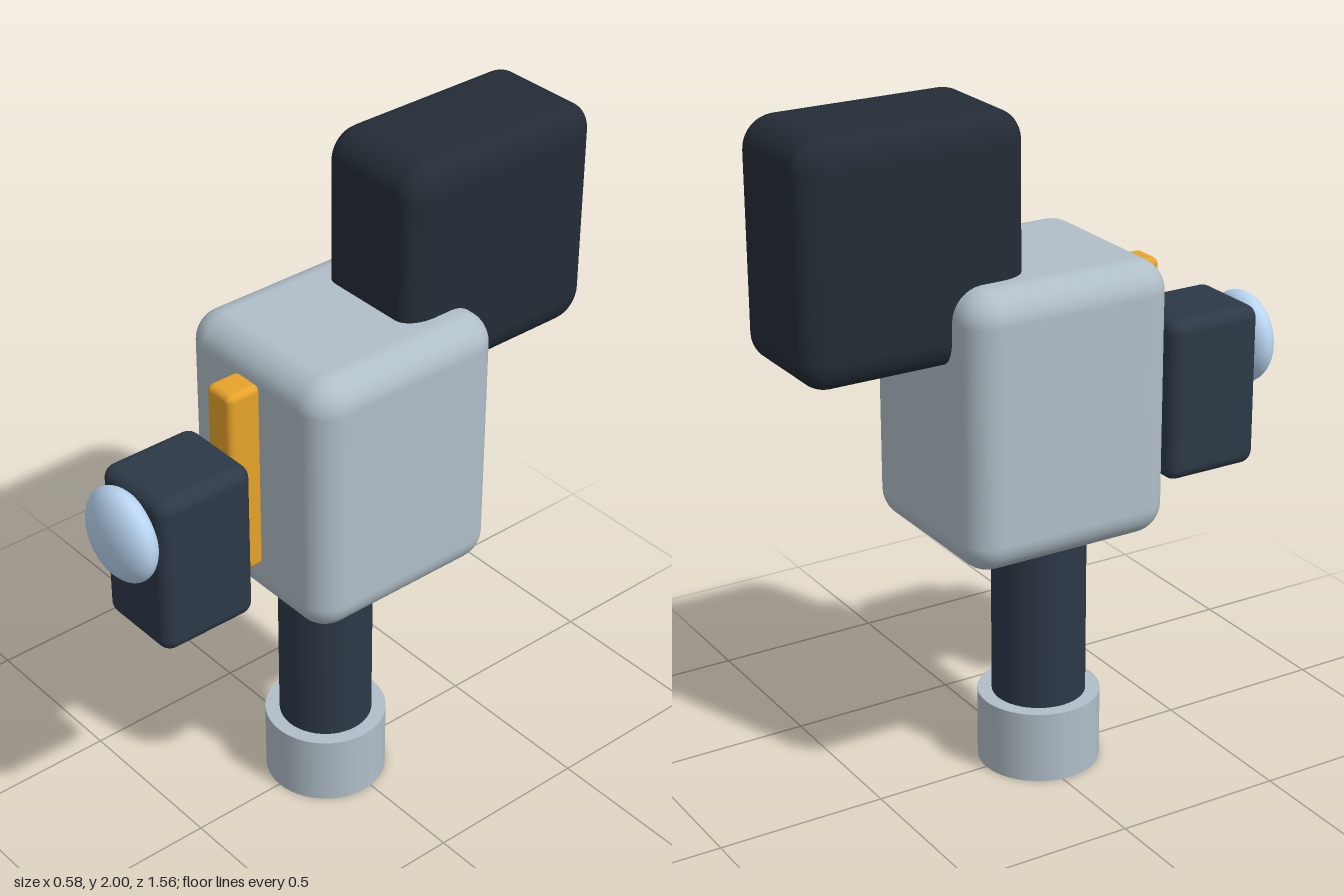
import * as THREE from 'three';
import { RoundedBoxGeometry } from 'three/addons/geometries/RoundedBoxGeometry.js';

const paint = (color) => new THREE.MeshStandardMaterial({ color });

export function createModel() {
  const model = new THREE.Group();
  const shell = paint(0xb0bec8);
  const dark = paint(0x2d3947);
  const darker = paint(0x232c36);
  const amber = paint(0xe6a32a);
  const glass = paint(0xb8d4f0);

  const add = (name, geometry, material, x, y, z) => {
    const mesh = new THREE.Mesh(geometry, material);
    mesh.name = name;
    mesh.position.set(x, y, z);
    model.add(mesh);
    return mesh;
  };

  // Rounded block given by its width and its y and z extents
  const block = (name, width, [y0, y1], [z0, z1], radius, material) =>
    add(name, new RoundedBoxGeometry(width, y1 - y0, z1 - z0, 5, radius),
      material, 0, (y0 + y1) / 2, (z0 + z1) / 2);

  // Upright cylinder given by its radius and y extent
  const post = (name, radius, y0, y1, material) =>
    add(name, new THREE.CylinderGeometry(radius, radius, y1 - y0, 48),
      material, 0, (y0 + y1) / 2, 0.027);

  // Stand
  post('foot', 0.178, 0, 0.215, shell);
  post('stem', 0.136, 0.2, 0.8, dark);

  // Main housing
  block('housing', 0.58, [0.75, 1.55], [-0.352, 0.285], 0.09, shell);

  // Rear block, its edges rounded less across the width
  const rear = block('rearBlock', 0.56, [1.33, 2], [-0.78, -0.112], 0.09, darker);
  rear.geometry.scale(0.364 / 0.56, 1, 1);

  // Front rail, sight block and lens
  block('rail', 0.102, [0.89, 1.475], [0.285, 0.392], 0.02, amber);
  block('sightBlock', 0.272, [0.82, 1.305], [0.38, 0.685], 0.04, dark);
  const lens = add('lens', new THREE.SphereGeometry(0.136, 40, 28), glass, 0, 1.167, 0.715);
  lens.scale.z = 0.48;

  return model;
}
